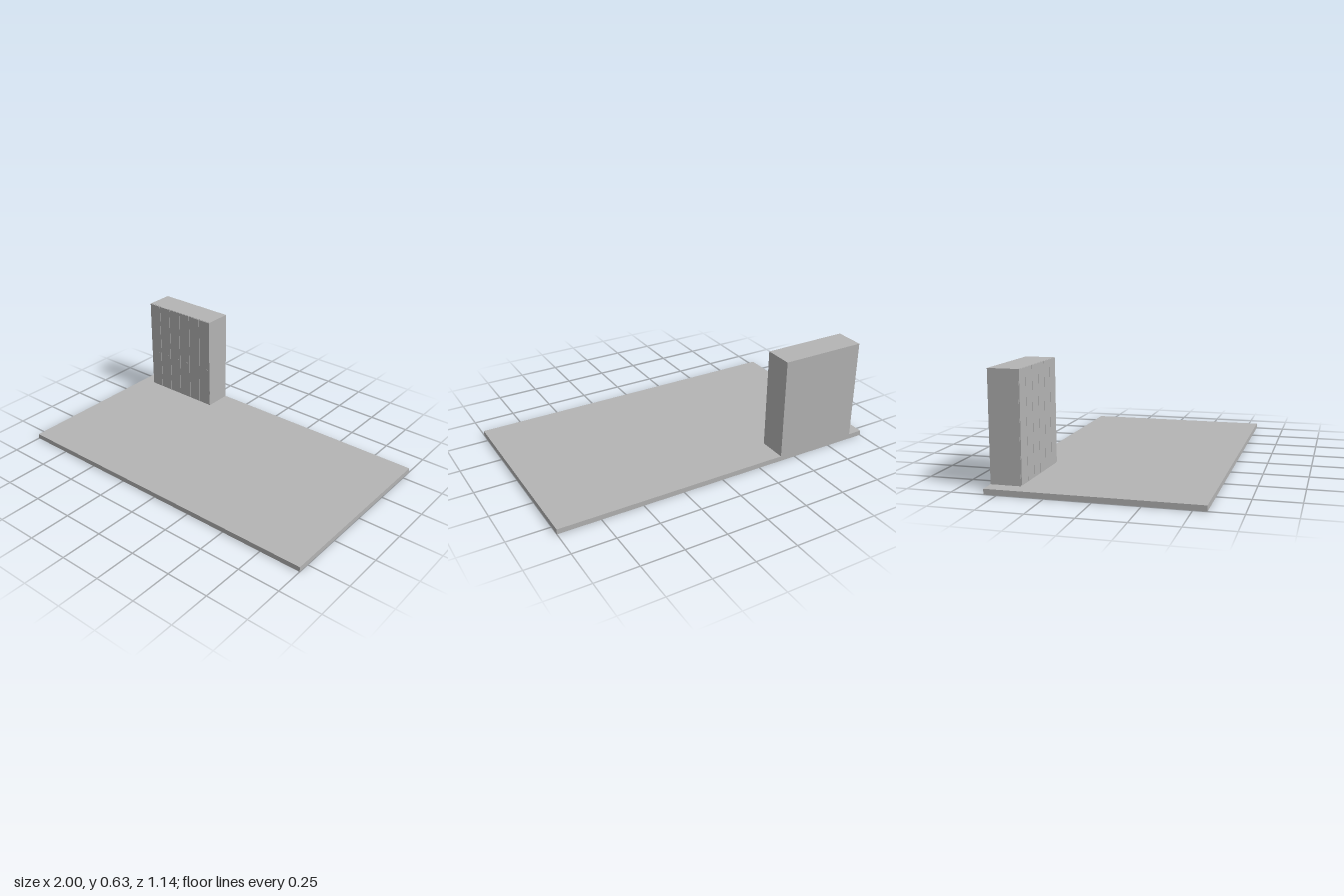
import * as THREE from 'three';

export function createModel() {
  const model = new THREE.Group();
  const grey = new THREE.MeshStandardMaterial({ color: 0xb4b4b4 });
  grey.name = 'plain grey';

  // Box given by its lower and upper corners
  function box(parent, name, [x0, y0, z0], [x1, y1, z1]) {
    const mesh = new THREE.Mesh(new THREE.BoxGeometry(x1 - x0, y1 - y0, z1 - z0), grey);
    mesh.position.set((x0 + x1) / 2, (y0 + y1) / 2, (z0 + z1) / 2);
    mesh.name = name;
    parent.add(mesh);
  }

  // Floor slab
  const floorTop = 0.03, back = -0.571;
  box(model, 'floor', [-1, 0, back], [1, floorTop, -back]);

  // Row of six narrow lockers against the back edge
  const count = 6, left = -0.912, width = 0.0853, top = 0.631;
  const bodyFront = -0.404, doorFront = -0.399, gap = 0.0015;
  for (let i = 0; i < count; i++) {
    const locker = new THREE.Group();
    locker.name = 'locker' + (i + 1);
    locker.position.x = left + i * width;
    box(locker, 'body', [0, floorTop, back], [width, top, bodyFront]);
    box(locker, 'door', [gap, 0.037, bodyFront], [width - gap, top - 0.001, doorFront]);
    // Small latch at mid height
    box(locker, 'latch', [0.058, 0.286, doorFront], [0.068, 0.292, doorFront + 0.001]);
    model.add(locker);
  }
  return model;
}
